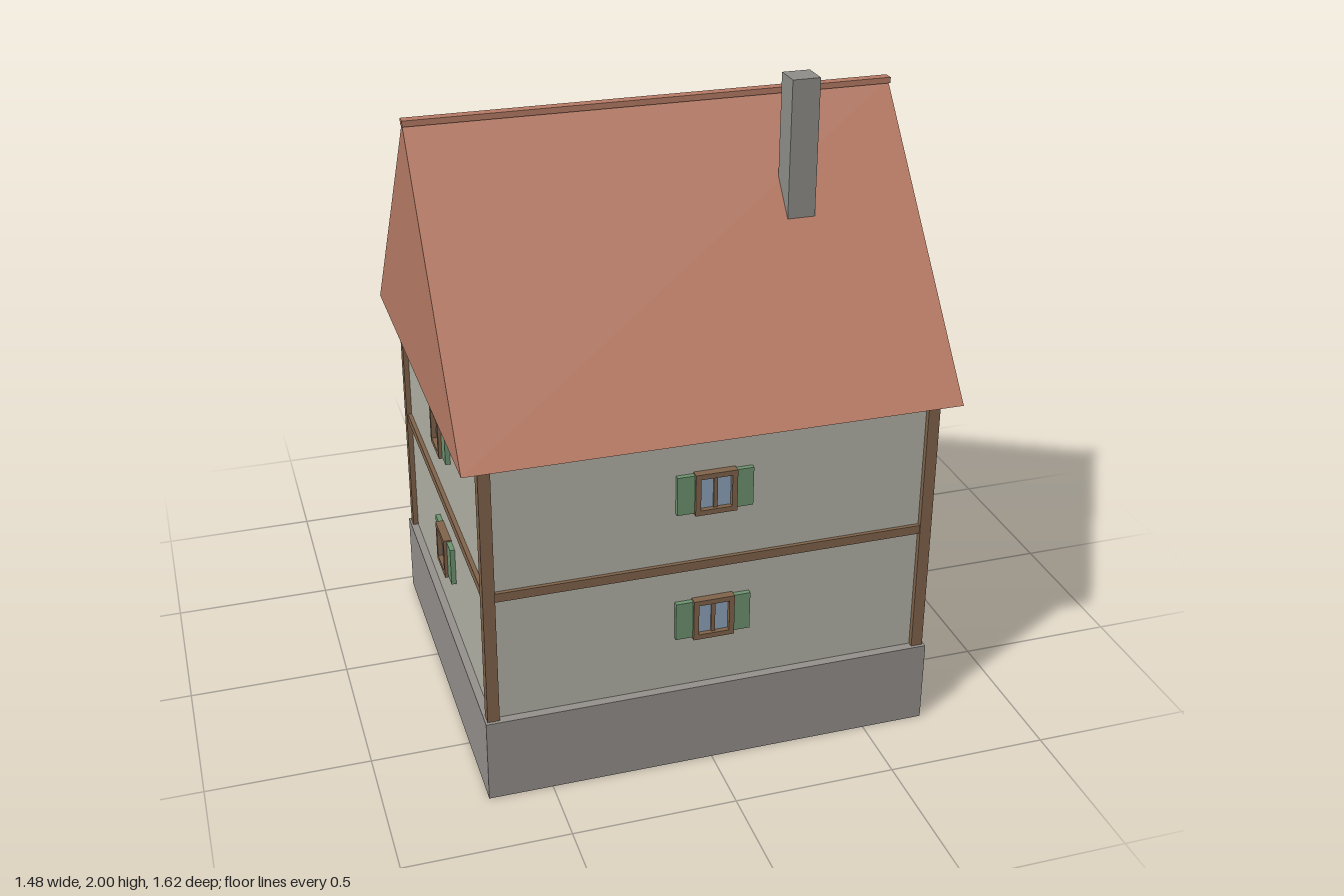
import * as THREE from 'three';

const paint = (color) => new THREE.MeshStandardMaterial({ color, flatShading: true });
const stone = paint(0x95918d), plaster = paint(0xb4b3a8), timber = paint(0x82654c);
const tile = paint(0xb87c66), chimneyGrey = paint(0x908f8b), green = paint(0x6f9470);
const glass = paint(0x8fa6bd), doorBrown = paint(0x6e5039), gold = paint(0xb8a45c);
const brass = paint(0x54483a);

const CZ = 0.16;            // centre of the house in z
const BACK = -0.435;        // back wall plane

function add(parent, name, geometry, material, x = 0, y = 0, z = 0) {
  const mesh = new THREE.Mesh(geometry, material);
  mesh.name = name;
  mesh.position.set(x, y, z);
  parent.add(mesh);
  return mesh;
}

function box(parent, name, material, w, h, d, x, y, z) {
  return add(parent, name, new THREE.BoxGeometry(w, h, d), material, x, y, z);
}

// Window facing +z: glass, frame, mullion and two shutters
function makeWindow() {
  const g = new THREE.Group();
  g.name = 'window';
  box(g, 'glass', glass, 0.1, 0.11, 0.012, 0, 0, 0.004);
  box(g, 'mullion', timber, 0.012, 0.11, 0.018, 0, 0, 0.007);
  for (const s of [-1, 1]) {
    box(g, 'frameSide', timber, 0.016, 0.132, 0.03, s * 0.055, 0, 0.01);
    box(g, 'frameRail', timber, 0.126, 0.016, 0.03, 0, s * 0.058, 0.01);
    box(g, 'shutter', green, 0.052, 0.122, 0.016, s * 0.089, 0, 0.007);
  }
  return g;
}

// Barrel standing on its own y = 0
function makeBarrel() {
  const g = new THREE.Group();
  g.name = 'barrel';
  const profile = [[0, 0], [0.041, 0], [0.05, 0.05], [0.05, 0.105], [0.041, 0.155], [0.036, 0.155], [0.036, 0.148], [0, 0.148]];
  add(g, 'staves', new THREE.LatheGeometry(profile.map((p) => new THREE.Vector2(...p)), 8), timber);
  return g;
}

// Walls, stone base, corner posts and beams
function makeHouse(group) {
  box(group, 'stoneBase', stone, 1.39, 0.265, 1.235, 0, 0.1325, CZ);
  box(group, 'walls', plaster, 1.342, 0.84, 1.18, 0, 0.685, CZ);
  for (const sx of [-1, 1]) for (const sz of [-1, 1])
    box(group, 'cornerPost', timber, 0.036, 0.84, 0.036, sx * 0.67, 0.685, CZ + sz * 0.589);
  for (const [y, h] of [[0.68, 0.028], [1.094, 0.022]]) {
    for (const s of [-1, 1]) {
      box(group, 'longBeam', timber, 1.32, h, 0.028, 0, y, CZ + s * 0.588);
      box(group, 'sideBeam', timber, 0.028, h, 1.16, s * 0.67, y, CZ);
    }
  }
  // Diagonal braces on the lower back wall
  for (const s of [-1, 1]) {
    const brace = box(group, 'brace', timber, 0.48, 0.02, 0.022, s * 0.455, 0.42, BACK);
    brace.rotation.z = -s * Math.atan2(0.31, 0.37);
  }
  // Windows on all sides, two per storey at the back
  const spots = [[0, CZ + 0.59, 0], [0.671, CZ, Math.PI / 2], [-0.671, CZ, -Math.PI / 2],
    [0.32, CZ - 0.59, Math.PI], [-0.48, CZ - 0.59, Math.PI]];
  for (const [x, z, turn] of spots) for (const y of [0.498, 0.919]) {
    const w = makeWindow();
    w.position.set(x, y, z);
    w.rotation.y = turn;
    group.add(w);
  }
}

// Gabled roof prism, ridge beam and chimney
function makeRoof(group) {
  const gable = new THREE.Shape([[-0.648, 0], [0.648, 0], [0, 0.79]].map((p) => new THREE.Vector2(...p)));
  const prism = new THREE.ExtrudeGeometry(gable, { depth: 1.48, bevelEnabled: false });
  prism.translate(0, 0, -0.74).rotateY(Math.PI / 2);
  add(group, 'roof', prism, tile, 0, 1.105, CZ);
  box(group, 'ridgeBeam', tile, 1.484, 0.018, 0.032, 0, 1.897, CZ);
  box(group, 'chimney', chimneyGrey, 0.085, 0.5, 0.085, 0.372, 1.75, 0.373);
}

// Back porch with deck, posts, lean-to roof, door and barrels
function makePorch(group) {
  box(group, 'deck', timber, 1.065, 0.018, 0.26, -0.002, 0.275, -0.565);
  for (const x of [-0.457, 0.457])
    box(group, 'porchPost', timber, 0.024, 0.345, 0.024, x, 0.453, -0.602);
  const lean = box(group, 'porchRoof', tile, 1.13, 0.014, 0.255, -0.003, 0.691, -0.56);
  lean.rotation.x = -Math.atan2(0.085, 0.24);
  box(group, 'door', doorBrown, 0.13, 0.225, 0.02, -0.08, 0.392, BACK);
  for (const s of [-1, 1])
    box(group, 'doorJamb', timber, 0.014, 0.23, 0.028, -0.08 + s * 0.07, 0.395, BACK);
  box(group, 'doorLintel', timber, 0.18, 0.022, 0.034, -0.08, 0.516, BACK);
  add(group, 'doorKnob', new THREE.SphereGeometry(0.008, 8, 6), brass, -0.03, 0.405, BACK - 0.014);
  for (let i = 0; i < 3; i++) {
    const barrel = makeBarrel();
    barrel.position.set(-0.57 + i * 0.115, 0.205, -0.525);
    group.add(barrel);
  }
}

// Free-standing post with an arm, hanging board and tankard emblem
function makeSign(group) {
  const z = -0.772;
  box(group, 'signPost', timber, 0.026, 0.56, 0.025, 0.617, 0.485, z);
  box(group, 'signArm', timber, 0.18, 0.018, 0.016, 0.525, 0.737, z);
  for (const s of [-1, 1])
    box(group, 'hanger', brass, 0.005, 0.03, 0.005, 0.517 + s * 0.05, 0.716, z);
  box(group, 'signBoard', timber, 0.14, 0.13, 0.014, 0.517, 0.64, z);
  add(group, 'tankard', new THREE.CylinderGeometry(0.029, 0.031, 0.065, 8), gold, 0.51, 0.646, -0.78);
}

export function createModel() {
  const model = new THREE.Group();
  model.name = 'inn';
  for (const [name, build] of [['house', makeHouse], ['roofing', makeRoof], ['porch', makePorch], ['sign', makeSign]]) {
    const part = new THREE.Group();
    part.name = name;
    build(part);
    model.add(part);
  }
  return model;
}
